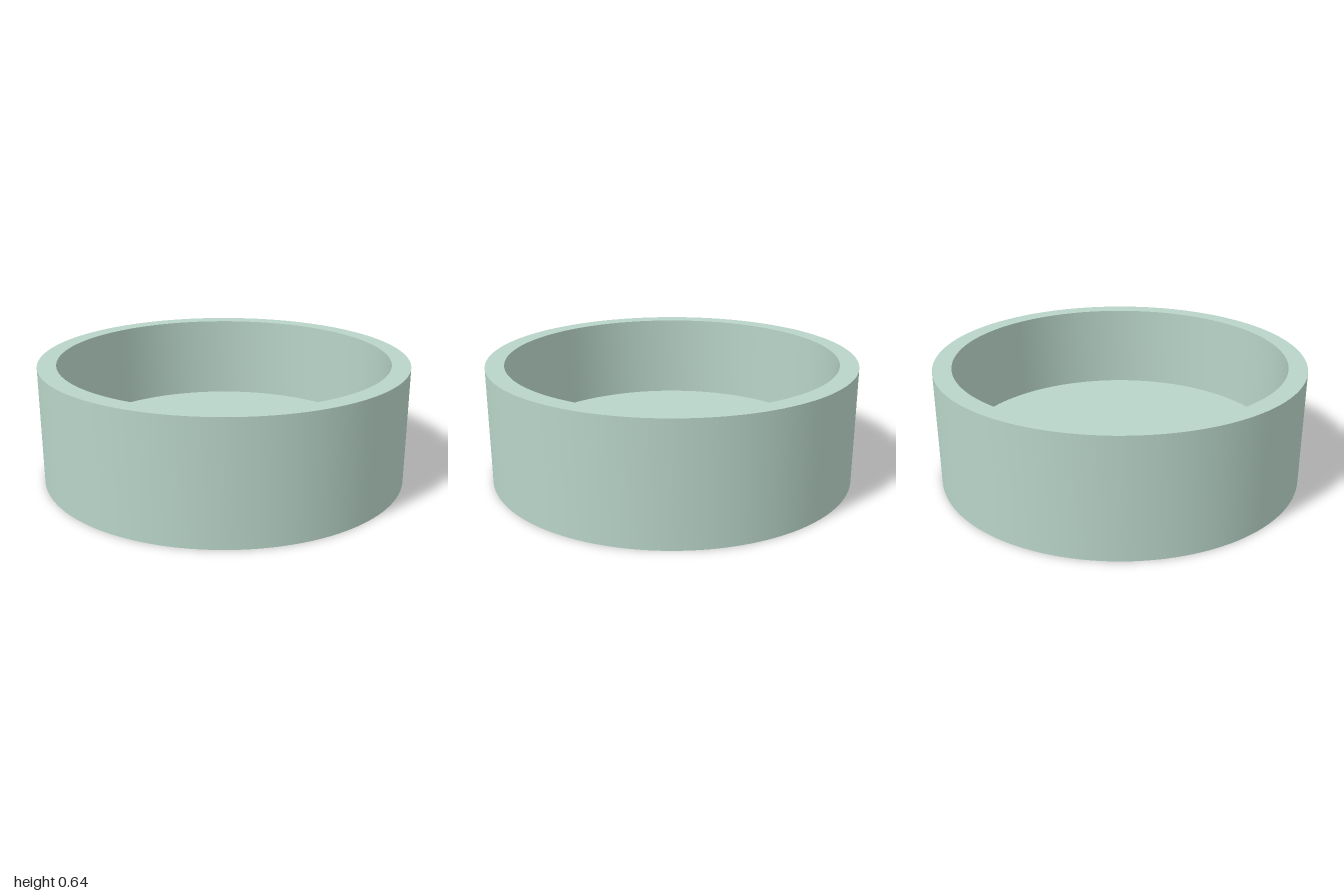
import * as THREE from 'three';
import { toCreasedNormals } from 'three/addons/utils/BufferGeometryUtils.js';

const OUTER = 1, INNER = 0.9, HEIGHT = 0.64, FLOOR = 0.16;

export function createModel() {
  const group = new THREE.Group();
  group.name = 'roundDish';

  // Closed profile: underside, outer wall, flat rim, inner wall, floor
  const profile = [
    [0, 0], [OUTER, 0], [OUTER, HEIGHT], [INNER, HEIGHT], [INNER, FLOOR], [0, FLOOR],
  ].map(([x, y]) => new THREE.Vector2(x, y));

  const geometry = toCreasedNormals(new THREE.LatheGeometry(profile, 128), Math.PI / 6);
  const dish = new THREE.Mesh(geometry, new THREE.MeshStandardMaterial({ color: 0xb8d4c8 }));
  dish.name = 'dish';
  group.add(dish);
  return group;
}
